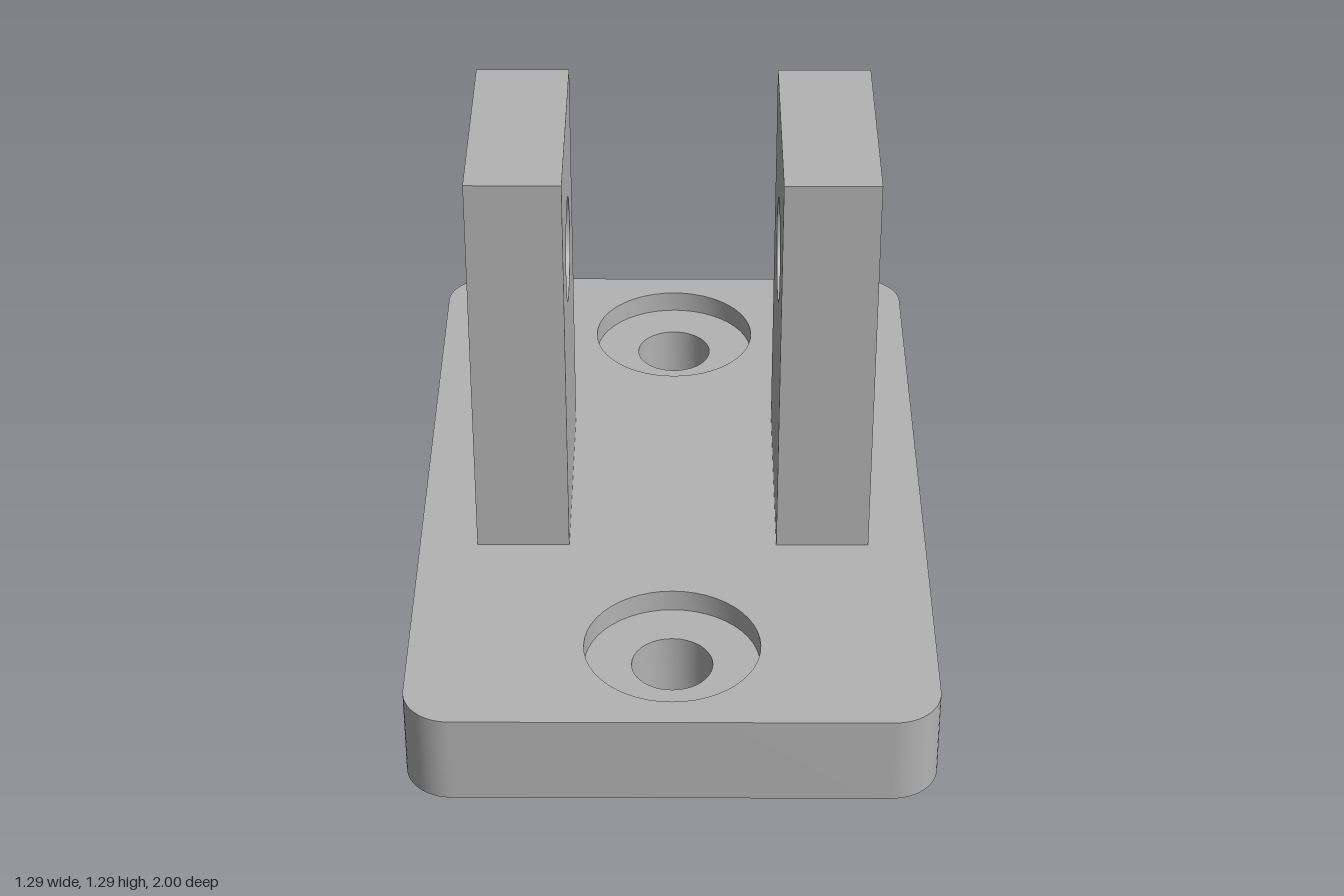
import * as THREE from 'three';
import { mergeGeometries, toCreasedNormals } from 'three/addons/utils/BufferGeometryUtils.js';

const U = 2 / 34;                       // one design unit
const W = 22 * U, L = 2, T = 4 * U;     // base plate
const CORNER = 2 * U;
const HOLE_Z = 12 * U, HOLE_R = 0.1, BORE_R = 0.217, BORE_DEPTH = U;
const SEG = 24;                         // full circles get 2 * SEG sides

function circle(x, y, r) {
  return new THREE.Path().absarc(x, y, r, 0, Math.PI * 2, true);
}

function plateOutline(holeRadius) {
  const x = W / 2 - CORNER, y = L / 2 - CORNER, q = Math.PI / 2;
  const s = new THREE.Shape();
  s.absarc(x, y, CORNER, 0, q, false);
  s.absarc(-x, y, CORNER, q, 2 * q, false);
  s.absarc(-x, -y, CORNER, 2 * q, 3 * q, false);
  s.absarc(x, -y, CORNER, 3 * q, 4 * q, false);
  s.closePath();
  if (holeRadius) for (const z of [-HOLE_Z, HOLE_Z]) s.holes.push(circle(0, z, holeRadius));
  return s;
}

// Keep positions only, so that all pieces can be merged
function bare(geometry, start = 0) {
  const g = geometry.index ? geometry.toNonIndexed() : geometry;
  const out = new THREE.BufferGeometry();
  out.setAttribute('position', new THREE.BufferAttribute(g.attributes.position.array.slice(start * 3), 3));
  return out;
}

function basePlateGeometry() {
  // Outer wall: the side faces of an extrusion, without its caps
  const solid = new THREE.ExtrudeGeometry(plateOutline(0), { depth: T, bevelEnabled: false, curveSegments: 8 });
  const wall = bare(solid, solid.groups[1].start).rotateX(-Math.PI / 2);
  const top = bare(new THREE.ShapeGeometry(plateOutline(BORE_R), SEG)).rotateX(-Math.PI / 2).translate(0, T, 0);
  const bottom = bare(new THREE.ShapeGeometry(plateOutline(HOLE_R), SEG)).rotateX(Math.PI / 2);
  // Counterbored screw holes
  const profile = [[BORE_R, T], [BORE_R, T - BORE_DEPTH], [HOLE_R, T - BORE_DEPTH], [HOLE_R, 0]]
    .map(([r, y]) => new THREE.Vector2(r, y));
  const bores = [-HOLE_Z, HOLE_Z].map((z) => bare(new THREE.LatheGeometry(profile, SEG * 2)).translate(0, 0, z));
  return toCreasedNormals(mergeGeometries([wall, top, bottom, ...bores]), 0.6);
}

function lugGeometry() {
  // Upright lug with a cross hole, extruded along x
  const half = 5 * U, height = 18 * U, thick = 4 * U;
  const s = new THREE.Shape();
  s.moveTo(-half, 0).lineTo(half, 0).lineTo(half, height).lineTo(-half, height).closePath();
  s.holes.push(circle(0, 12 * U, 2.25 * U));
  const g = new THREE.ExtrudeGeometry(s, { depth: thick, bevelEnabled: false, curveSegments: SEG });
  g.translate(0, 0, -thick / 2).rotateY(Math.PI / 2);
  return toCreasedNormals(bare(g), 0.6);
}

export function createModel() {
  const group = new THREE.Group();
  group.name = 'clevisBracket';
  const grey = new THREE.MeshStandardMaterial({ color: 0xb3b3b3 });
  grey.name = 'grey';

  const plate = new THREE.Mesh(basePlateGeometry(), grey);
  plate.name = 'basePlate';
  group.add(plate);

  const lug = lugGeometry();
  for (const [name, side] of [['leftLug', 1], ['rightLug', -1]]) {
    const mesh = new THREE.Mesh(lug, grey);
    mesh.name = name;
    mesh.position.set(side * 6.5 * U, T, 0);
    group.add(mesh);
  }
  return group;
}
